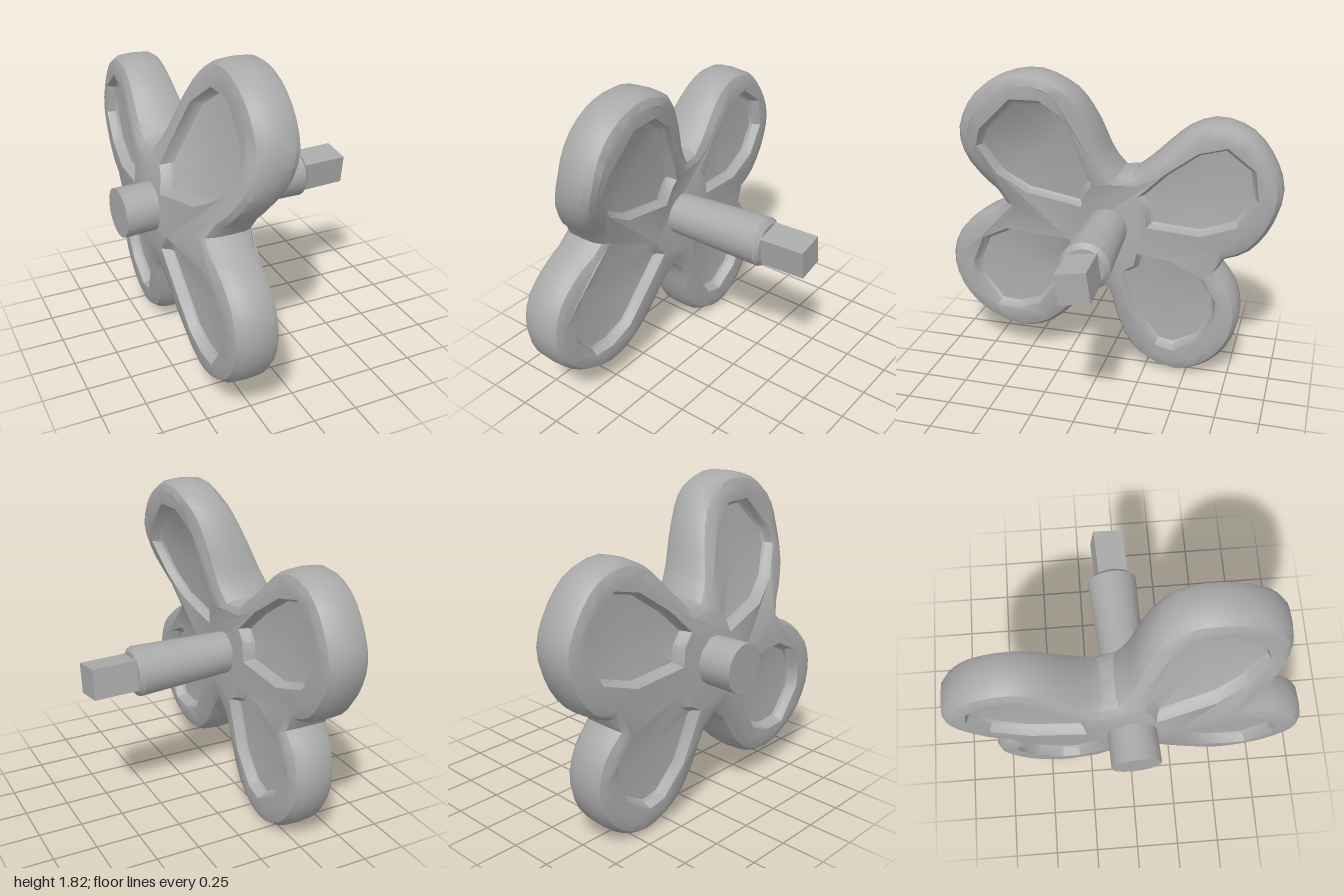
import * as THREE from 'three';
import { toCreasedNormals } from 'three/addons/utils/BufferGeometryUtils.js';

const HUB = [-0.04, 0.9]; // hub centre as (z, y)
const smooth = THREE.MathUtils.smoothstep;

// Turns a flat list of (z, y) numbers into counter-clockwise 2D points
function toPoints(flat) {
  const pts = [];
  for (let i = 0; i < flat.length; i += 2) pts.push(new THREE.Vector2(flat[i], flat[i + 1]));
  return THREE.ShapeUtils.isClockWise(pts) ? pts.reverse() : pts;
}

// Four-lobed outline of the handwheel
const OUTLINE = toPoints([
  -0.09, 1.235, -0.02, 1.33, 0.06, 1.55, 0.155, 1.71, 0.28, 1.79, 0.41, 1.82, 0.6, 1.78, 0.76, 1.655,
  0.84, 1.47, 0.825, 1.28, 0.73, 1.12, 0.635, 1.0, 0.81, 0.89, 0.95, 0.757, 1.0, 0.585, 0.955, 0.4,
  0.81, 0.24, 0.58, 0.15, 0.4, 0.185, 0.25, 0.3, 0.13, 0.46, 0.04, 0.555, -0.01, 0.505, -0.075, 0.29,
  -0.18, 0.105, -0.42, 0, -0.61, 0.06, -0.75, 0.21, -0.8, 0.4, -0.755, 0.585, -0.66, 0.72, -0.825, 0.805,
  -0.945, 0.96, -1, 1.165, -0.93, 1.36, -0.8, 1.505, -0.61, 1.56, -0.45, 1.505, -0.26, 1.335, -0.155, 1.245,
]);

// Dished recess in each lobe
const RECESSES = [
  [0.51, 1.67, 0.34, 1.67, 0.19, 1.55, 0.065, 1.17, 0.1, 1.125, 0.13, 1.03, 0.46, 1.095, 0.63, 1.2, 0.73, 1.38, 0.7, 1.485],
  [0.22, 0.82, 0.195, 0.775, 0.145, 0.71, 0.29, 0.52, 0.42, 0.345, 0.57, 0.29, 0.7, 0.3, 0.835, 0.48, 0.847, 0.585, 0.78, 0.745, 0.62, 0.826],
  [-0.107, 0.645, -0.18, 0.69, -0.2, 0.77, -0.4, 0.74, -0.585, 0.64, -0.665, 0.505, -0.665, 0.4, -0.575, 0.24, -0.42, 0.15, -0.315, 0.175, -0.19, 0.345],
  [-0.19, 1.11, -0.24, 1.04, -0.25, 0.935, -0.56, 0.905, -0.77, 0.975, -0.875, 1.135, -0.85, 1.31, -0.69, 1.43, -0.53, 1.39, -0.34, 1.255],
].map(toPoints);

// Lobes bent out of the wheel plane: direction (z, y) and amount
const BENDS = [[0.44, 0.9, 0.18], [-0.39, -0.92, 0.03]];

// Places a wheel point: side runs -1..1 across the thickness, depth sinks below the face
function place(p, side, depth = 0) {
  const dz = p.x - HUB[0], dy = p.y - HUB[1], r = Math.hypot(dz, dy) || 1e-6;
  const half = 0.178 - 0.048 * smooth(r, 0.2, 0.85);
  let x = -0.325;
  for (const [bz, by, amount] of BENDS) {
    const d = dz * bz + dy * by;
    x += amount * smooth(d / r, 0.45, 0.85) * THREE.MathUtils.clamp((d - 0.15) / 0.75, 0, 1);
  }
  return [x + side * half - Math.sign(side) * depth, p.y, p.x];
}

function handwheelGeometry() {
  const pos = [];
  const tri = (a, b, c, flip) => pos.push(...a, ...(flip ? c : b), ...(flip ? b : c));
  const band = (a, b, flip) => a.forEach((p, i) => {
    const j = (i + 1) % a.length;
    tri(p, a[j], b[i], flip);
    tri(a[j], b[j], b[i], flip);
  });

  // Smooth outline and its inset copies
  const curve = new THREE.CatmullRomCurve3(OUTLINE.map(p => new THREE.Vector3(p.x, p.y, 0)), true);
  const count = 96;
  const inset = amount => Array.from({ length: count }, (_, i) => {
    const p = curve.getPointAt(i / count), t = curve.getTangentAt(i / count);
    return new THREE.Vector2(p.x - t.y * amount, p.y + t.x * amount);
  });

  // Rounded rim
  const profile = [[0.07, -1], [0.028, -0.88], [0.005, -0.6], [0, 0], [0.005, 0.6], [0.028, 0.88], [0.07, 1]];
  const rings = profile.map(([amount, side]) => inset(amount).map(p => place(p, side)));
  for (let i = 0; i < rings.length - 1; i++) band(rings[i], rings[i + 1], true);

  // Both faces, pierced by the recesses
  const edge = inset(0.07);
  const holes = RECESSES.map(h => h.slice().reverse());
  const faces = THREE.ShapeUtils.triangulateShape(edge, holes);
  const all = [edge, ...holes].flat();
  for (const side of [-1, 1]) {
    for (const f of faces) {
      const [a, b, c] = f.map(i => all[i]);
      const ccw = (b.x - a.x) * (c.y - a.y) - (b.y - a.y) * (c.x - a.x) > 0;
      tri(place(a, side), place(b, side), place(c, side), ccw === (side > 0));
    }
    // Stepped recess walls and shallow dished floor
    for (const h of RECESSES) {
      const mid = h.reduce((s, p) => s.add(p), new THREE.Vector2()).divideScalar(h.length);
      const loops = [[1, 0], [0.95, 0.045], [0.9, 0.06]].map(([scale, depth]) =>
        h.map(p => place(mid.clone().lerp(p, scale), side, depth)));
      band(loops[0], loops[1], side > 0);
      band(loops[1], loops[2], side > 0);
      const centre = place(mid, side, 0.09), last = loops[2];
      last.forEach((p, i) => tri(p, last[(i + 1) % last.length], centre, side > 0));
    }
  }
  const geometry = new THREE.BufferGeometry();
  geometry.setAttribute('position', new THREE.Float32BufferAttribute(pos, 3));
  return toCreasedNormals(geometry, 0.6);
}

export function createModel() {
  const model = new THREE.Group();
  const metal = new THREE.MeshStandardMaterial({ color: 0xaaaaaa });
  metal.name = 'grey metal';
  const add = (parent, geometry, name) => {
    const mesh = new THREE.Mesh(geometry, metal);
    mesh.name = name;
    parent.add(mesh);
    return mesh;
  };

  add(model, handwheelGeometry(), 'handwheel');

  // Slightly tilted spindle, built along y and turned to x
  const spindle = new THREE.Group();
  spindle.name = 'spindle';
  const start = new THREE.Vector3(-0.69, 0.905, 0.01), end = new THREE.Vector3(0.69, 0.912, -0.06);
  spindle.position.copy(start);
  spindle.quaternion.setFromUnitVectors(new THREE.Vector3(0, 1, 0), end.clone().sub(start).normalize());
  model.add(spindle);

  // Tapered round shaft with a chamfered end
  const shaft = [[0, 0], [0.138, 0], [0.135, 0.25], [0.118, 0.5], [0.14, 1.1], [0.113, 1.125], [0, 1.125]];
  const lathe = new THREE.LatheGeometry(shaft.map(([r, y]) => new THREE.Vector2(r, y)), 18);
  add(spindle, toCreasedNormals(lathe, 0.5), 'shaft');

  // Square drive end
  const drive = add(spindle, new THREE.BoxGeometry(0.17, 0.32, 0.17), 'squareDrive');
  drive.position.y = 1.222;
  drive.rotation.y = 0.19;

  return model;
}
